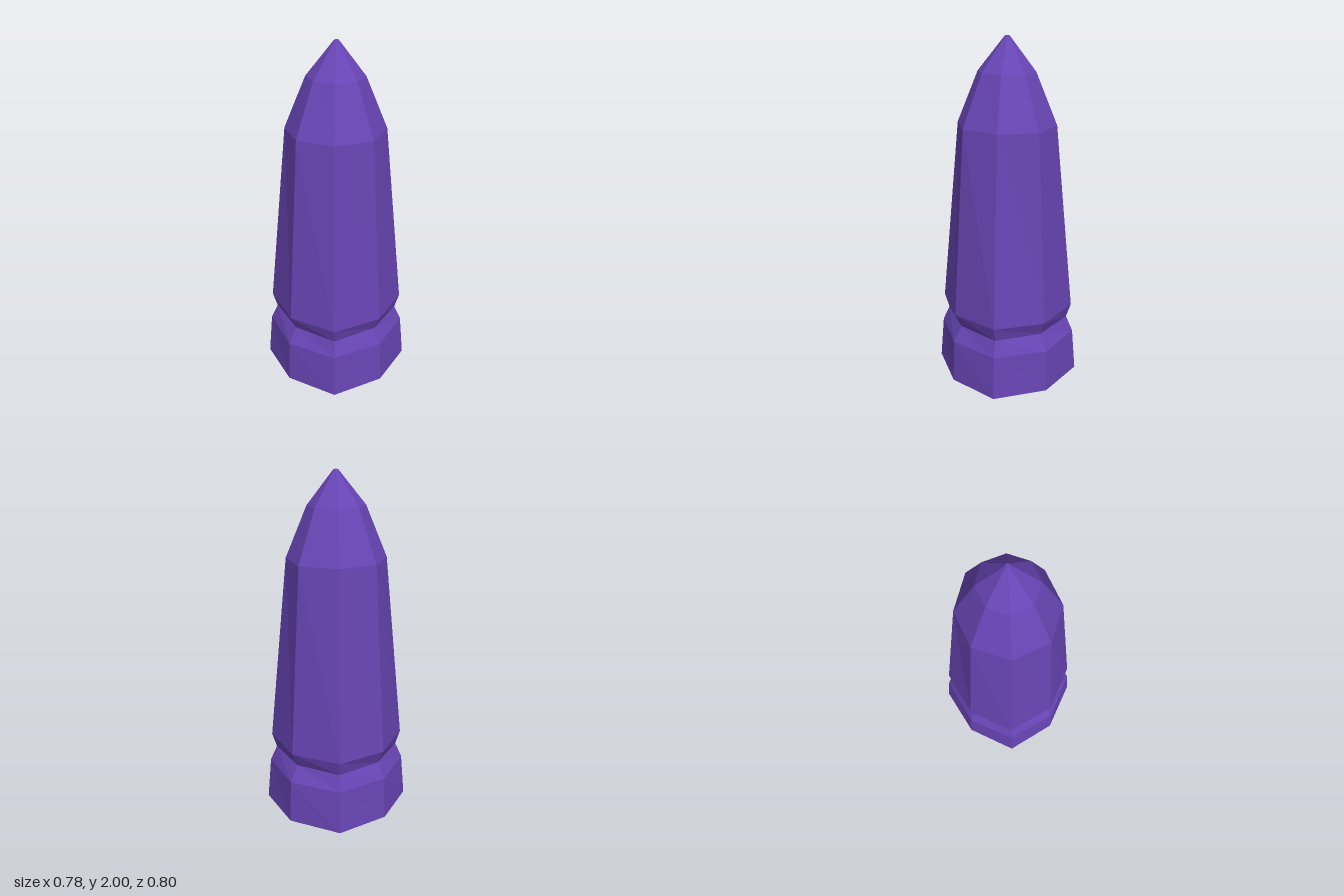
import * as THREE from 'three';

// Cross-sections from bottom to top: height, side radius, front/back radius, diagonal corner offset
const RINGS = [
  [0, 0, 0, 0],
  [0, 0.39, 0.4, 0.302],
  [0.255, 0.378, 0.39, 0.286],
  [0.345, 0.327, 0.333, 0.258],
  [0.43, 0.366, 0.373, 0.277],
  [1.52, 0.288, 0.295, 0.2],
  [1.81, 0.163, 0.168, 0.115],
  [2, 0.012, 0.012, 0.009],
  [2, 0, 0, 0],
];

export function createModel() {
  const group = new THREE.Group();
  group.name = 'obelisk';

  // Eight-sided lathe, its corners then nudged into a slightly irregular octagon
  const profile = RINGS.map(([y, r]) => new THREE.Vector2(r, y));
  const geometry = new THREE.LatheGeometry(profile, 8);
  const pos = geometry.attributes.position;
  for (let i = 0; i < pos.count; i++) {
    const corner = Math.floor(i / RINGS.length) % 8;
    const [y, rx, rz, diagonal] = RINGS[i % RINGS.length];
    const angle = (corner * Math.PI) / 4;
    const sx = Math.round(Math.sin(angle) * 1.3);
    const sz = Math.round(Math.cos(angle) * 1.3);
    const isDiagonal = sx !== 0 && sz !== 0;
    const x = sx * (isDiagonal ? diagonal : rx) + 0.002;
    const z = sz * (isDiagonal ? diagonal : rz) + (sx !== 0 && y < 2 ? 0.008 : 0.003);
    // Cap centres stay shared by all corners
    if (rx === 0) pos.setXYZ(i, 0.002, y, 0.003);
    else pos.setXYZ(i, x, y, z);
  }
  geometry.computeVertexNormals();

  // Base, groove, tapering shaft and pointed crown in one faceted body
  const body = new THREE.Mesh(
    geometry,
    new THREE.MeshStandardMaterial({ color: 0x6845b5, flatShading: true })
  );
  body.name = 'obeliskBody';
  group.add(body);
  return group;
}
